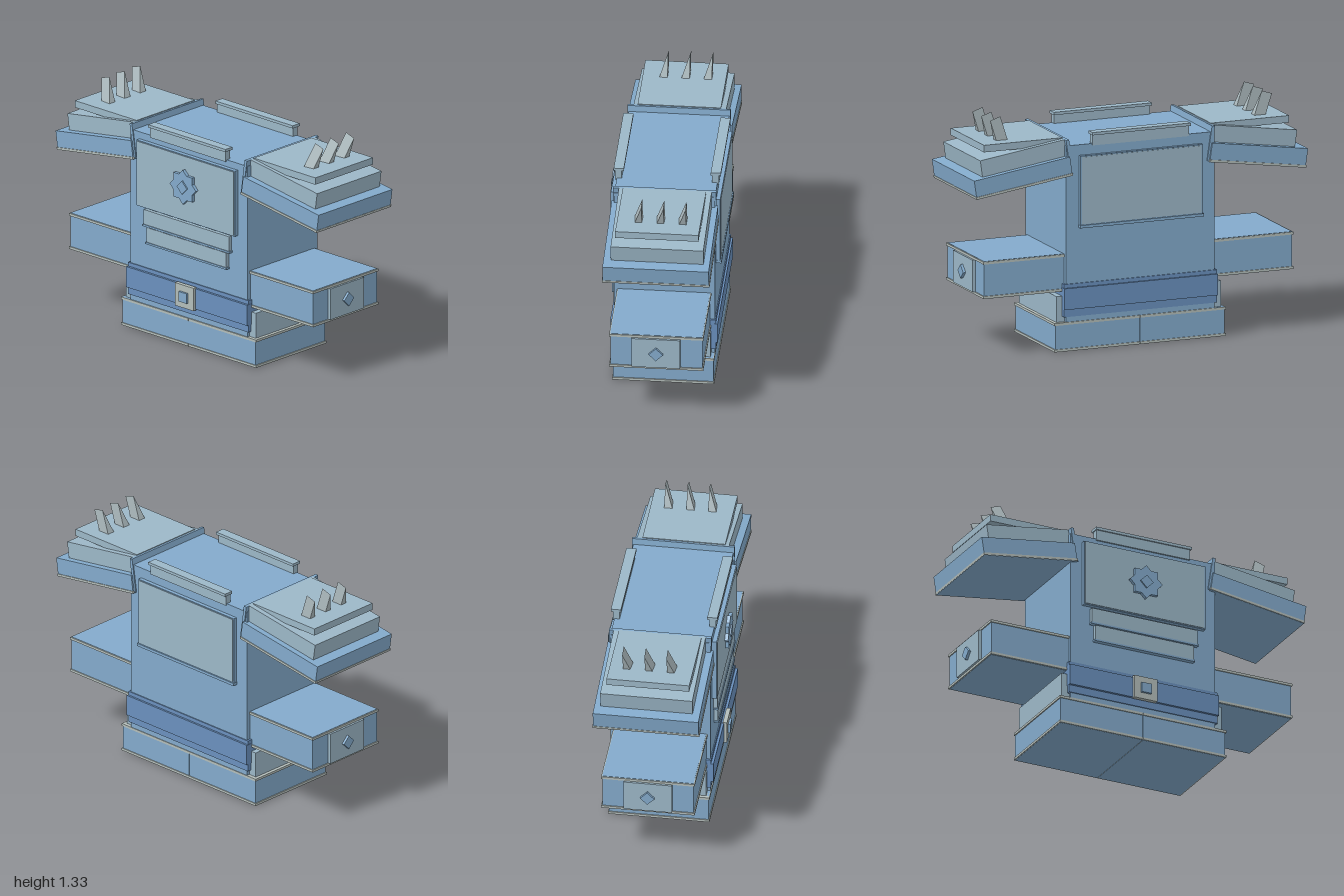
import * as THREE from 'three';

const mat = (name, color) => Object.assign(new THREE.MeshStandardMaterial({ color }), { name });

export function createModel() {
  const blue = mat('steel blue', 0x83aacb);
  const pale = mat('pale plate', 0x9cb7c7);
  const belt = mat('belt blue', 0x6a90bd);
  const trim = mat('trim grey', 0xb3bdba);
  const spikeGrey = mat('spike grey', 0xaebcc0);

  const model = new THREE.Group();
  model.name = 'armouredFigure';

  // Box from its min and max on each axis
  function box(name, material, x0, x1, y0, y1, z0, z1, parent = model) {
    const mesh = new THREE.Mesh(new THREE.BoxGeometry(Math.abs(x1 - x0), y1 - y0, z1 - z0), material);
    mesh.position.set((x0 + x1) / 2, (y0 + y1) / 2, (z0 + z1) / 2);
    mesh.name = name;
    parent.add(mesh);
    return mesh;
  }

  // Torso
  box('torso', blue, -0.445, 0.445, 0.165, 1.16, -0.29, 0.266);

  // Chest plate with its pale face
  box('chestPlate', blue, -0.375, 0.372, 0.738, 1.12, 0.26, 0.291);
  box('chestFace', pale, -0.369, 0.366, 0.744, 1.115, 0.289, 0.295);

  // Eight-pointed chest emblem
  const star = new THREE.Shape();
  for (let i = 0; i < 16; i++) {
    const r = i % 2 ? 0.0765 : 0.1, a = (i * Math.PI) / 8;
    star[i ? 'lineTo' : 'moveTo'](r * Math.cos(a), r * Math.sin(a));
  }
  star.closePath();
  const emblem = new THREE.Mesh(new THREE.ExtrudeGeometry(star, { depth: 0.022, bevelEnabled: false }), blue);
  emblem.position.set(-0.002, 0.94, 0.292);
  emblem.name = 'chestStar';
  model.add(emblem);
  box('starStud', blue, -0.03, 0.026, 0.912, 0.968, 0.31, 0.322).rotation.z = Math.PI / 4;

  // Stomach plates with a lip along the bottom
  for (const [w, y] of [[0.325, 0.635], [0.303, 0.535]]) {
    box('stomachPlate', pale, -w, w, y, y + 0.09, 0.25, 0.288);
    box('stomachLip', blue, -w - 0.005, w + 0.005, y - 0.006, y + 0.005, 0.25, 0.293);
  }

  // Back plate
  box('backPlate', blue, -0.366, 0.366, 0.705, 1.1, -0.312, -0.28);
  box('backFace', pale, -0.358, 0.358, 0.715, 1.094, -0.315, -0.309);
  box('backLip', blue, -0.37, 0.37, 0.694, 0.71, -0.32, -0.28);

  // Collar rails, front and back
  for (const [name, z] of [['frontCollar', 0.256], ['backCollar', -0.28]]) {
    box(name, pale, -0.29, 0.287, 1.15, 1.213, z - 0.017, z + 0.019);
    box(name + 'Cap', pale, -0.296, 0.293, 1.21, 1.226, z - 0.029, z + 0.027);
  }

  // Belt and buckle
  box('belt', belt, -0.458, 0.458, 0.195, 0.38, -0.296, 0.272);
  box('beltBand', belt, -0.46, 0.46, 0.238, 0.358, -0.307, 0.286);
  box('buckle', trim, -0.072, 0.07, 0.232, 0.365, 0.28, 0.304);
  box('buckleStud', blue, -0.031, 0.029, 0.268, 0.326, 0.3, 0.317);

  for (const s of [1, -1]) {
    // Boot: foot block with rims, and the ankle above
    box('foot', blue, s * 0.001, s * 0.507, 0, 0.164, -0.287, 0.266);
    for (const y of [0.001, 0.15]) box('footRim', trim, s * 0.001, s * 0.513, y, y + 0.014, -0.292, 0.271);
    box('ankle', pale, s * 0.01, s * 0.493, 0.16, 0.31, -0.27, 0.25);

    // Forearm block with rims, end plate and diamond stud
    box('forearm', blue, s * 0.44, s * 0.923, 0.334, 0.546, -0.264, 0.244);
    for (const y of [0.336, 0.53]) box('forearmRim', trim, s * 0.44, s * 0.929, y, y + 0.014, -0.27, 0.25);
    box('wristPlate', pale, s * 0.9, s * 0.941, 0.35, 0.53, -0.143, 0.125);
    box('wristStud', blue, s * 0.93, s * 0.956, 0.412, 0.468, -0.038, 0.018).rotation.x = Math.PI / 4;

    // Sloping shoulder slab, upper tier and inner flange
    const shoulder = new THREE.Group();
    shoulder.name = s > 0 ? 'leftShoulder' : 'rightShoulder';
    shoulder.position.set(s * 0.706, 1.005, -0.012);
    shoulder.rotation.z = -s * 0.145;
    model.add(shoulder);
    box('shoulderSlab', blue, -s * 0.29, s * 0.29, -0.0545, 0.0535, -0.294, 0.293, shoulder);
    box('shoulderRim', trim, -s * 0.292, s * 0.292, -0.0535, -0.04, -0.298, 0.297, shoulder);
    box('shoulderTier', pale, -s * 0.294, s * 0.225, 0.05, 0.148, -0.26, 0.252, shoulder);
    box('shoulderFlange', blue, -s * 0.302, -s * 0.284, -0.05, 0.148, -0.285, 0.284, shoulder);

    // Level cap on the shoulder
    box('shoulderCap', pale, s * 0.445, s * 0.915, 1.157, 1.197, -0.242, 0.218);

    // Three wedge spikes leaning outward
    const wedge = new THREE.Shape([[0, 0], [0.064, 0], [0, 0.2]].map(p => new THREE.Vector2(-p[0], p[1])));
    const wedgeGeo = new THREE.ExtrudeGeometry(wedge, { depth: 0.064, bevelEnabled: false });
    wedgeGeo.translate(0, 0, -0.032).rotateY(Math.PI / 2);
    for (const z of [0.08, -0.042, -0.165]) {
      const spike = new THREE.Mesh(wedgeGeo, spikeGrey);
      spike.position.set(s * 0.753, 1.132, z);
      spike.rotation.z = -s * 0.31;
      spike.name = 'shoulderSpike';
      model.add(spike);
    }
  }
  return model;
}
